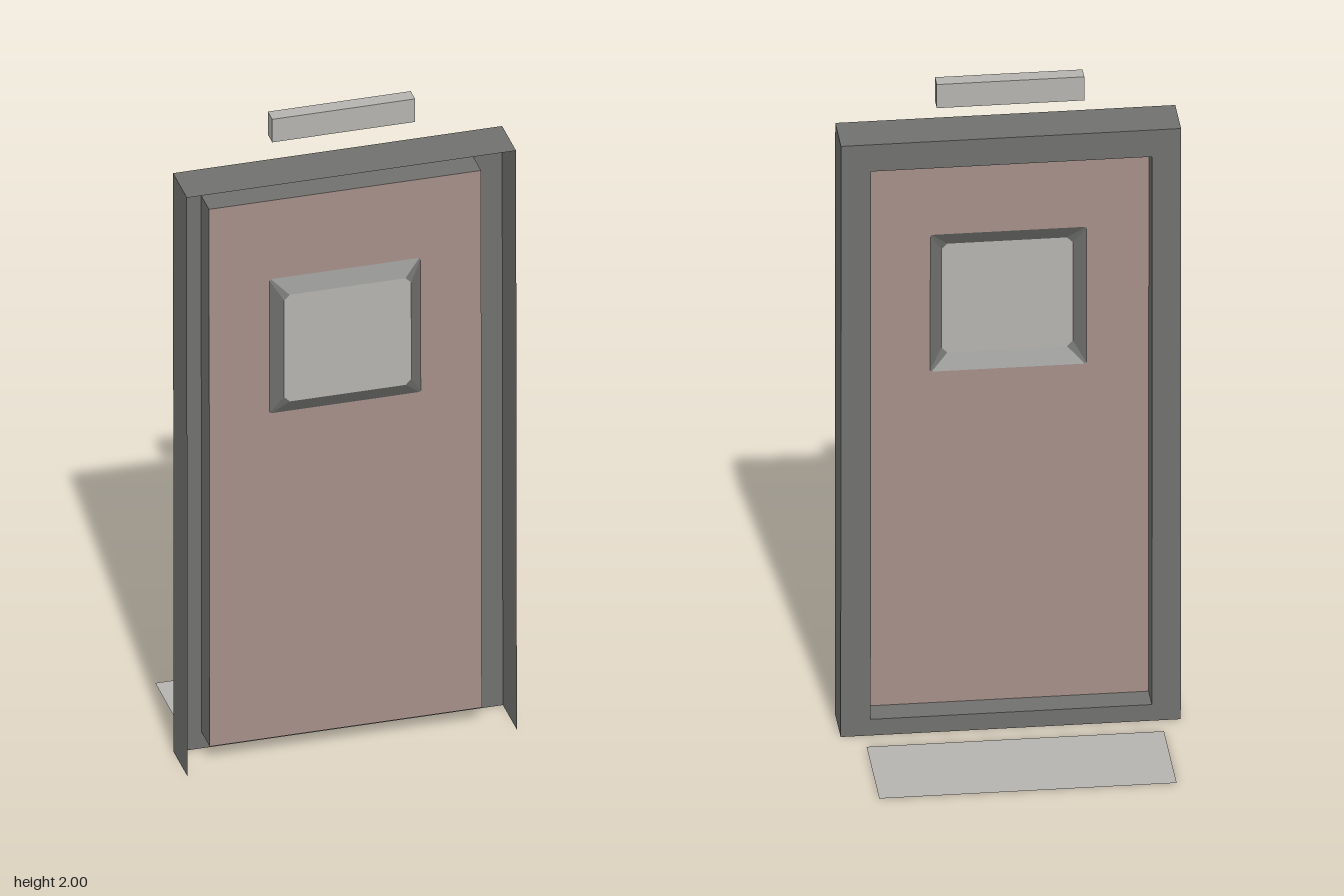
import * as THREE from 'three';

const mat = (name, color) => {
  const m = new THREE.MeshStandardMaterial({ color, side: THREE.DoubleSide });
  m.name = name;
  return m;
};

// The door set leans very slightly: the foot sits a touch further forward.
const lean = (y) => 0.008 * (1 - y / 1.835);

// Rectangle with cut corners, counter-clockwise from the bottom left; c = 0 gives four points.
function ring(x0, y0, x1, y1, z, c = 0) {
  const pts = c
    ? [[x0 + c, y0], [x1 - c, y0], [x1, y0 + c], [x1, y1 - c],
       [x1 - c, y1], [x0 + c, y1], [x0, y1 - c], [x0, y0 + c]]
    : [[x0, y0], [x1, y0], [x1, y1], [x0, y1]];
  return pts.map(([x, y]) => [x, y, z + lean(y)]);
}

// Flat-sided band between two rings; sides listed in skip are left open.
function band(name, a, b, material, skip = []) {
  const pos = [];
  a.forEach((p, i) => {
    if (skip.includes(i)) return;
    const j = (i + 1) % a.length;
    pos.push(...p, ...b[i], ...b[j], ...p, ...b[j], ...a[j]);
  });
  const g = new THREE.BufferGeometry();
  g.setAttribute('position', new THREE.Float32BufferAttribute(pos, 3));
  g.computeVertexNormals();
  const mesh = new THREE.Mesh(g, material);
  mesh.name = name;
  return mesh;
}

// Flat panel filling a ring, with an optional hole.
function panel(name, outline, z, material, hole) {
  const toV2 = (r) => r.map(([x, y]) => new THREE.Vector2(x, y));
  const shape = new THREE.Shape(toV2(outline));
  if (hole) shape.holes.push(new THREE.Path(toV2(hole)));
  const g = new THREE.ShapeGeometry(shape);
  const p = g.attributes.position;
  for (let i = 0; i < p.count; i++) p.setZ(i, z + lean(p.getY(i)));
  g.computeVertexNormals();
  const mesh = new THREE.Mesh(g, material);
  mesh.name = name;
  return mesh;
}

export function createModel() {
  const model = new THREE.Group();
  model.name = 'doorSet';
  const frameGrey = mat('frameGrey', 0x70706e);
  const paleGrey = mat('paleGrey', 0xb4b3af);
  const doorPink = mat('doorPink', 0xa58f89);

  // Open channel frame: outer wall (no sill underneath), back flange, inner return
  const outerFront = ring(-0.47, 0, 0.47, 1.835, 0.25);
  const outerBack = ring(-0.47, 0, 0.47, 1.835, 0.11);
  const innerBack = ring(-0.39, 0.05, 0.387, 1.752, 0.11);
  const innerFront = ring(-0.39, 0.05, 0.387, 1.752, 0.19);
  const frame = new THREE.Group();
  frame.name = 'doorFrame';
  frame.add(
    band('frameOuterWall', outerFront, outerBack, frameGrey, [0]),
    band('frameBackFlange', outerBack, innerBack, frameGrey),
    band('frameInnerReturn', innerBack, innerFront, frameGrey),
  );
  model.add(frame);

  // Door leaf with the raised window surround and its pane
  const windowOuter = ring(-0.218, 1.078, 0.214, 1.503, 0.19, 0.004);
  const windowInner = ring(-0.183, 1.122, 0.18, 1.46, 0.215, 0.016);
  model.add(
    panel('doorLeaf', innerFront, 0.19, doorPink, windowOuter),
    band('windowSurround', windowInner, windowOuter, frameGrey),
    panel('windowPane', windowInner, 0.215, paleGrey),
  );

  // Lamp box floating above the door
  const lamp = new THREE.Mesh(new THREE.BoxGeometry(0.408, 0.073, 0.044), paleGrey);
  lamp.name = 'lampBox';
  lamp.position.set(-0.001, 1.9635, 0.153);
  model.add(lamp);

  // Floor mat behind the door
  const floorMat = new THREE.Mesh(new THREE.PlaneGeometry(0.822, 0.308), paleGrey);
  floorMat.name = 'floorMat';
  floorMat.rotation.x = -Math.PI / 2;
  floorMat.position.set(-0.005, 0.001, -0.104);
  model.add(floorMat);

  return model;
}
